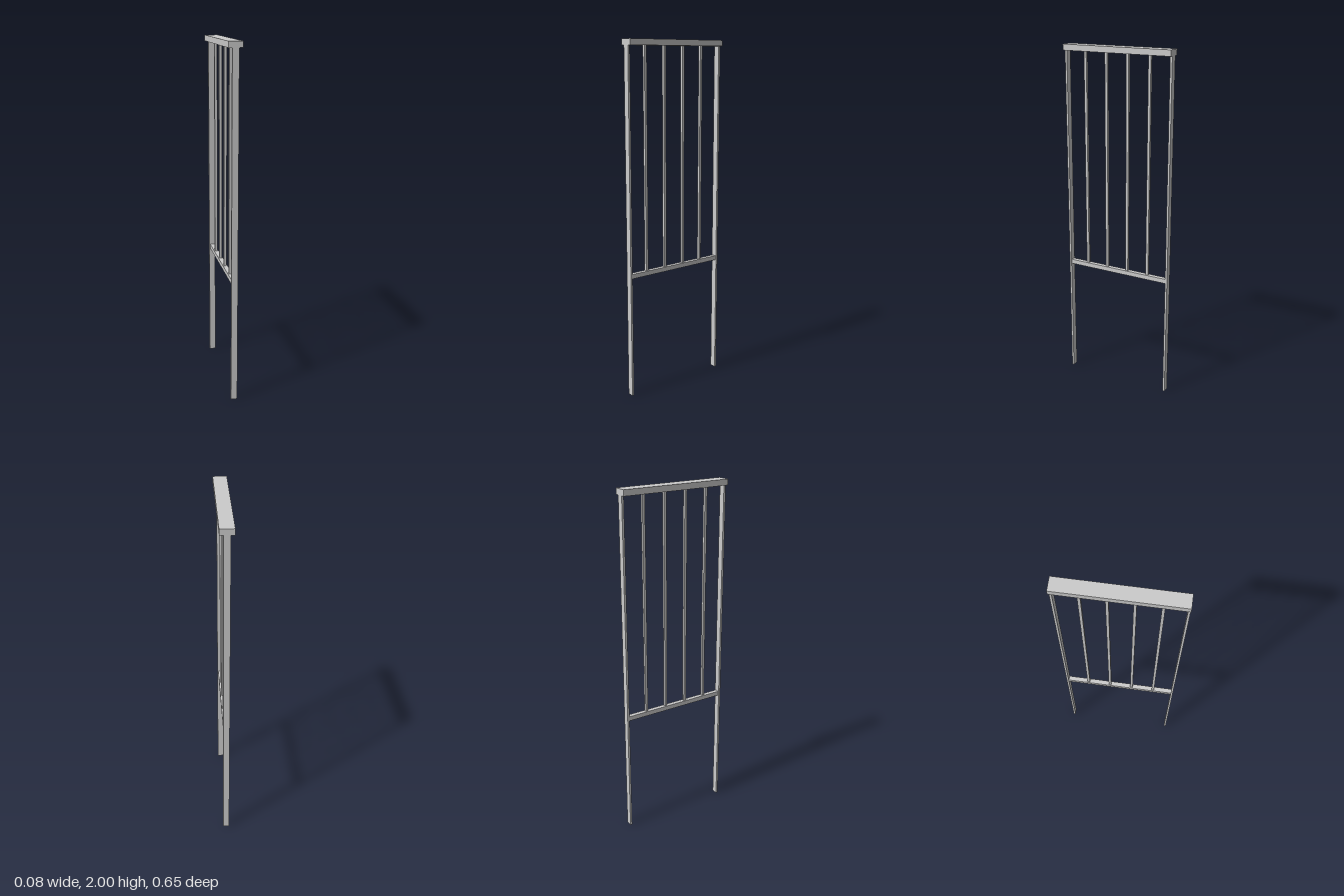
import * as THREE from 'three';

export function createModel() {
  const group = new THREE.Group();
  const material = new THREE.MeshStandardMaterial({ color: 0xcccccc });

  // Box given by its width, bottom and top heights, length along z and z centre
  function bar(name, width, y0, y1, length, z = 0) {
    const mesh = new THREE.Mesh(new THREE.BoxGeometry(width, y1 - y0, length), material);
    mesh.name = name;
    mesh.position.set(0, (y0 + y1) / 2, z);
    group.add(mesh);
  }

  // Handrail and lower rail
  bar('handrail', 0.076, 1.967, 2, 0.653);
  bar('lowerRail', 0.026, 0.698, 0.724, 0.632);

  // Flat end posts
  bar('frontPost', 0.036, 0, 1.967, 0.012, 0.32);
  bar('backPost', 0.036, 0, 1.967, 0.012, -0.32);

  // Balusters between the rails
  for (let i = 0; i < 4; i++) {
    bar('baluster' + (i + 1), 0.015, 0.724, 1.967, 0.015, 0.203 - 0.1315 * i);
  }

  return group;
}
